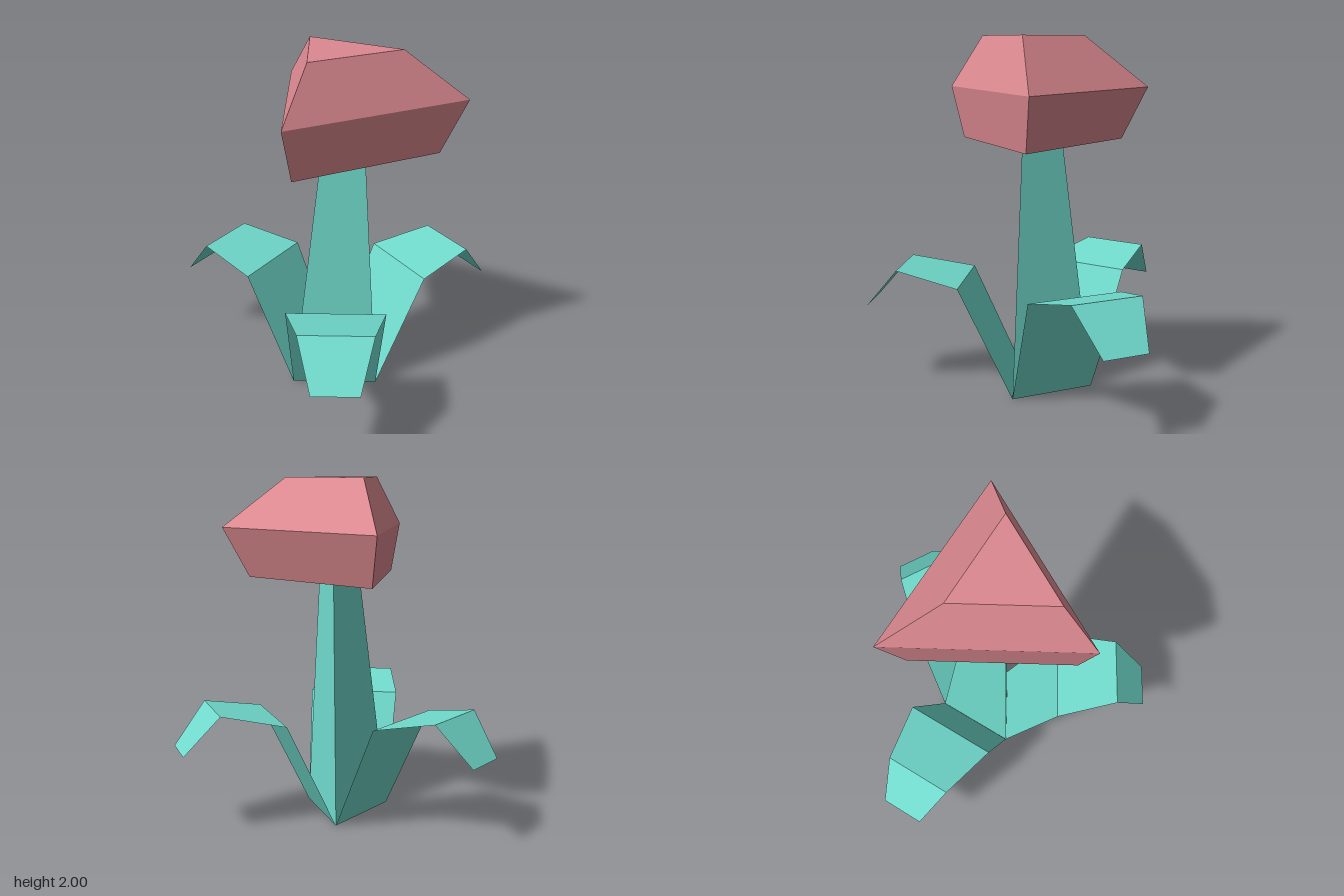
import * as THREE from 'three';

// Flat-shaded geometry from a list of corner triples
function facets(points) {
  const g = new THREE.BufferGeometry().setFromPoints(points);
  g.computeVertexNormals();
  return g;
}

// Three-sided loft; each ring is [x, y, z, radius], first corner at angle start (0 = +z)
function triLoft(rings, start) {
  const loops = rings.map(([x, y, z, r]) => [0, 1, 2].map((i) => {
    const a = start + (i * Math.PI * 2) / 3;
    return new THREE.Vector3(x + Math.sin(a) * r, y, z + Math.cos(a) * r);
  }));
  const pts = [];
  for (let k = 0; k < loops.length - 1; k++) {
    const lo = loops[k], hi = loops[k + 1];
    for (let i = 0; i < 3; i++) {
      const j = (i + 1) % 3;
      pts.push(lo[i], lo[j], hi[j], lo[i], hi[j], hi[i]);
    }
  }
  const b = loops[0], t = loops[loops.length - 1];
  pts.push(b[0], b[2], b[1], t[0], t[1], t[2]);
  return facets(pts);
}

// Bent sheet along +x; each section is [x, y, half width]
function leafSheet(sections) {
  const pts = [];
  for (let k = 0; k < sections.length - 1; k++) {
    const [x0, y0, w0] = sections[k], [x1, y1, w1] = sections[k + 1];
    const a = new THREE.Vector3(x0, y0, w0), b = new THREE.Vector3(x1, y1, w1);
    const c = new THREE.Vector3(x1, y1, -w1), d = new THREE.Vector3(x0, y0, -w0);
    pts.push(a, b, c, a, c, d);
  }
  return facets(pts);
}

export function createModel() {
  const model = new THREE.Group();
  model.name = 'flower';
  const pink = new THREE.MeshStandardMaterial({ color: 0xdc8990 });
  pink.name = 'petal pink';
  const teal = new THREE.MeshStandardMaterial({ color: 0x70dacc, side: THREE.DoubleSide });
  teal.name = 'leaf teal';

  const add = (name, geometry, material) => {
    const mesh = new THREE.Mesh(geometry, material);
    mesh.name = name;
    model.add(mesh);
    return mesh;
  };

  // Tapering stem with one edge facing +x
  add('stem', triLoft([[0.192, 0, 0, 0.283], [0.228, 1.42, 0, 0.139]], Math.PI / 2), teal);

  // Faceted bloom with one corner facing the front
  add('bloom', triLoft([
    [0.228, 1.417, 0, 0.53],
    [0.228, 1.71, -0.04, 0.66],
    [0.228, 2, 0.047, 0.333],
  ], 0), pink);

  // Three drooping leaves, one from each side of the stem base
  const leaf = leafSheet([
    [0.142, 0, 0.245], [0.437, 0.635, 0.275], [0.794, 0.713, 0.2], [0.992, 0.483, 0.126],
  ]);
  ['frontLeaf', 'rightLeaf', 'backLeaf'].forEach((name, i) => {
    const mesh = add(name, leaf, teal);
    mesh.position.x = 0.192;
    mesh.rotation.y = -Math.PI / 3 - (i * Math.PI * 2) / 3;
  });
  return model;
}
